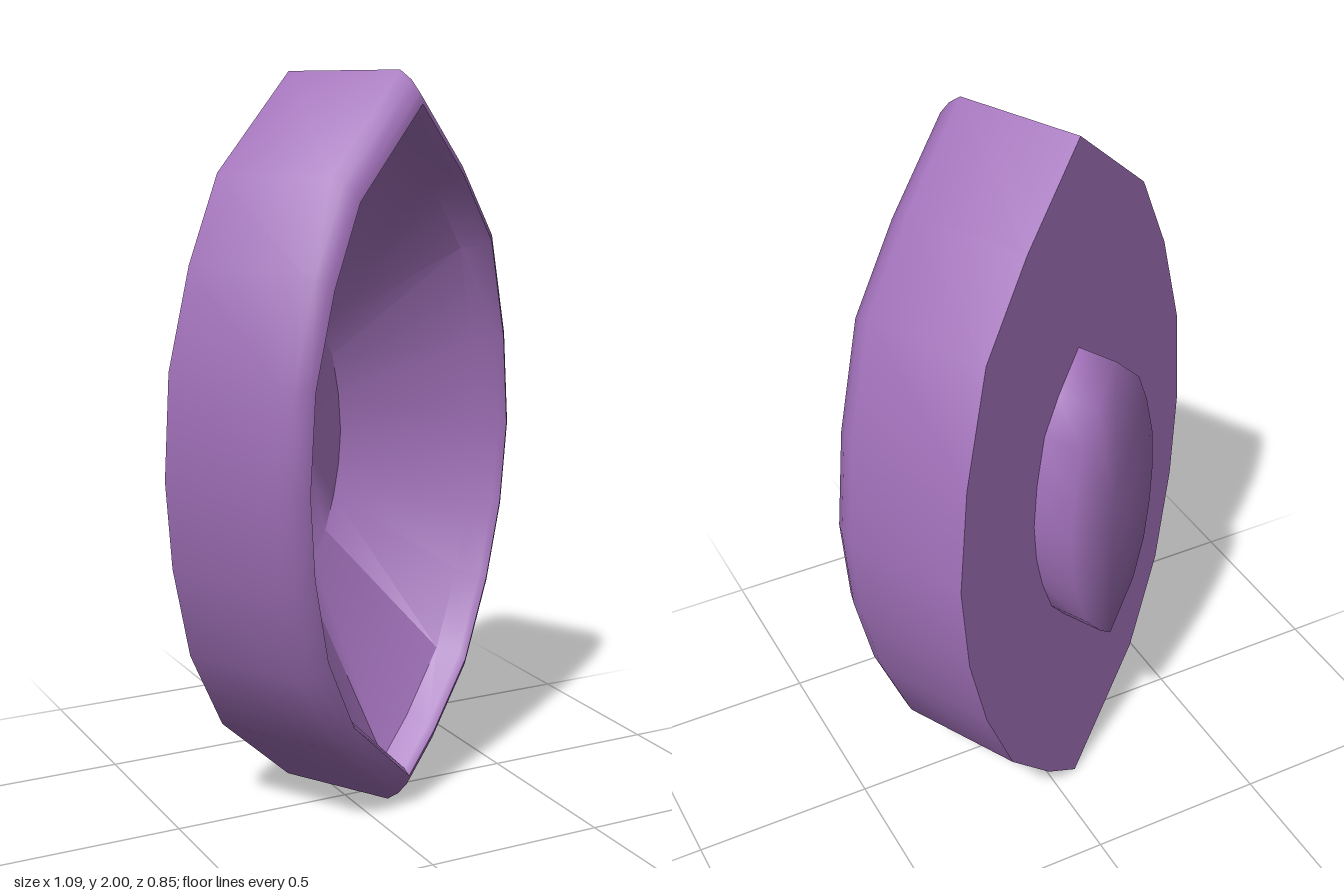
import * as THREE from 'three';
import { mergeVertices, toCreasedNormals } from 'three/addons/utils/BufferGeometryUtils.js';

// Pointed-oval outline, counter-clockwise from the lower tip
const outline = [
  [0, -1], [0.26, -0.9], [0.6, -0.72], [0.82, -0.48], [0.95, -0.25], [1, 0],
  [0.93, 0.28], [0.76, 0.58], [0.43, 0.79], [0, 1], [-0.57, 0.76], [-0.79, 0.54],
  [-0.95, 0.28], [-0.99, 0], [-0.945, -0.24], [-0.82, -0.5], [-0.57, -0.74],
];

// Slanted local frame: width, height and depth directions of the dish
const frame = new THREE.Matrix4().makeBasis(
  new THREE.Vector3(0.465, 0.01, -0.2525),
  new THREE.Vector3(-0.015, 0.995, 0.05),
  new THREE.Vector3(0.163, 0.008, 0.306),
).setPosition(-0.092, 0.998, -0.162);

// Sweep the outline through [depth, width scale, height scale] rings
function loft(rings) {
  const pos = [], index = [], n = outline.length;
  for (const [d, su, sv] of rings)
    for (const [u, v] of outline) pos.push(u * su, v * sv, d);
  for (let r = 0; r < rings.length - 1; r++)
    for (let j = 0; j < n; j++) {
      const k = (j + 1) % n, a = r * n, b = a + n;
      if (rings[r][1] > 0) index.push(a + j, a + k, b + k);
      if (rings[r + 1][1] > 0) index.push(a + j, b + k, b + j);
    }
  const g = new THREE.BufferGeometry();
  g.setAttribute('position', new THREE.Float32BufferAttribute(pos, 3));
  g.setIndex(index);
  g.applyMatrix4(frame);
  return mergeVertices(g);
}

export function createModel() {
  const group = new THREE.Group();
  const material = new THREE.MeshStandardMaterial({ color: 0xa070b8 });
  const add = (name, geometry) => {
    const mesh = new THREE.Mesh(geometry, material);
    mesh.name = name;
    group.add(mesh);
  };

  // Dish: flat back, side wall, rounded rim, inner lip, sloping bowl, flat floor
  add('dish', toCreasedNormals(loft([
    [0, 0, 0], [0, 1, 1], [1.0, 1, 1], [1.1, 0.975, 0.975], [1.18, 0.93, 0.94],
    [1.2, 0.9, 0.915], [1.15, 0.875, 0.895], [0.95, 0.85, 0.88],
    [0.15, 0.335, 0.385], [0.15, 0, 0],
  ]), 0.75));

  // Stem: softly shaded stub on the back
  const stem = loft([[-0.33, 0, 0], [-0.32, 0.385, 0.43], [0.03, 0.39, 0.43]]);
  stem.computeVertexNormals();
  add('stem', stem);

  return group;
}
